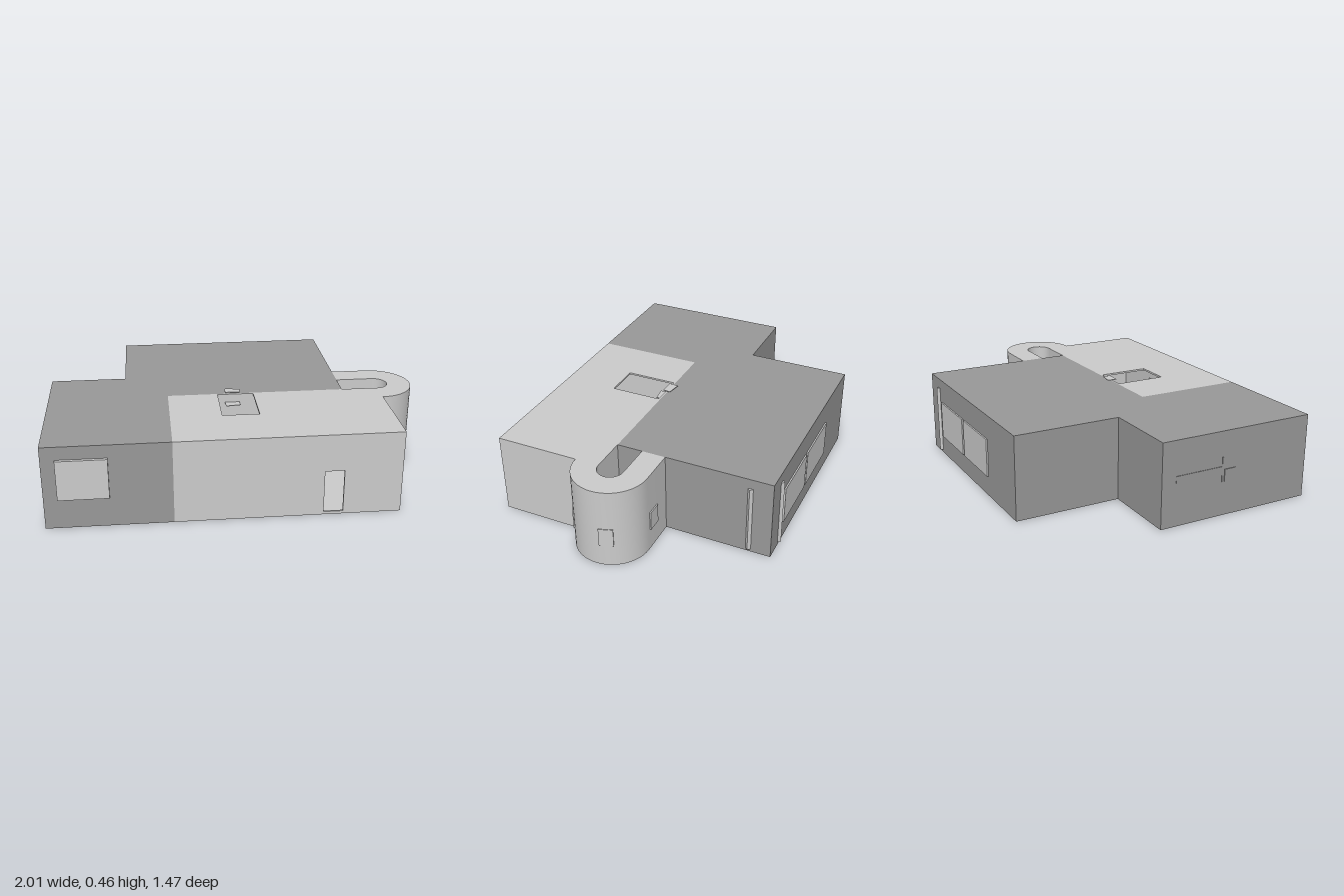
import * as THREE from 'three';
import { toCreasedNormals } from 'three/addons/utils/BufferGeometryUtils.js';

const H = 0.445;      // height of the building
const T = 0.01;       // wall thickness
const FRONT = 0.715;
const BACK = -0.725;

export function createModel() {
  const group = new THREE.Group();
  const light = new THREE.MeshStandardMaterial({ color: 0xcccccc });
  const dark = new THREE.MeshStandardMaterial({ color: 0x999999 });
  const openLight = new THREE.MeshStandardMaterial({ color: 0xcccccc, side: THREE.DoubleSide });

  function add(name, geometry, material, x = 0, y = 0, z = 0, turn = 0) {
    const mesh = new THREE.Mesh(geometry, material);
    mesh.name = name;
    mesh.position.set(x, y, z);
    mesh.rotation.y = turn;
    group.add(mesh);
    return mesh;
  }
  // Box from its limits on each axis
  function block(name, material, x0, x1, y0, y1, z0, z1) {
    return add(name, new THREE.BoxGeometry(x1 - x0, y1 - y0, z1 - z0), material,
      (x0 + x1) / 2, (y0 + y1) / 2, (z0 + z1) / 2);
  }
  // Floor-plan outline (x, z) extruded downwards from its top
  function plan(name, shape, material, top, depth, curveSegments = 12) {
    const g = new THREE.ExtrudeGeometry(shape, { depth, bevelEnabled: false, curveSegments });
    return add(name, toCreasedNormals(g.rotateX(Math.PI / 2), 0.6), material, 0, top, 0);
  }
  const outline = (pts) => pts.map(([x, y]) => new THREE.Vector2(x, y));
  const rect = (x0, x1, y0, y1) => outline([[x0, y0], [x1, y0], [x1, y1], [x0, y1]]);

  // Main wing
  plan('mainWing', new THREE.Shape(outline([
    [-1, FRONT], [-1, -0.15], [-0.59, -0.15], [-0.59, BACK + 0.005],
    [0.6, BACK + 0.005], [0.6, 0.13], [-0.36, 0.13], [-0.36, FRONT],
  ])), dark, H, H);

  // Hollow front wing: roof with stair opening, front wall with doorway
  const roof = new THREE.Shape(rect(-0.36, 0.8, 0.13, FRONT));
  roof.holes.push(new THREE.Path(rect(-0.09, 0.105, 0.14, 0.42)));
  plan('frontWingRoof', roof, light, H, T);
  block('frontWingFloor', light, -0.36, 0.8, 0, T, 0.13, FRONT);
  block('frontWingRightWall', light, -0.36, -0.36 + T, T, H - T, 0.13, FRONT - T);
  block('frontWingLeftWall', light, 0.8 - T, 0.8, T, H - T, 0.13, FRONT - T);
  block('frontWingBackWall', light, -0.36 + T, 0.8 - T, T, H - T, 0.13, 0.13 + T);
  const wall = new THREE.Shape(rect(-0.36, 0.8, T, H - T));
  wall.holes.push(new THREE.Path(rect(0.4, 0.5, 0.015, 0.245)));
  add('frontWingFrontWall', new THREE.ExtrudeGeometry(wall, { depth: T, bevelEnabled: false }),
    light, 0, 0, FRONT - T);

  // Rounded bay wrapped around an open slot
  const bay = new THREE.Shape();
  bay.moveTo(0.6, -0.14);
  bay.lineTo(0.8, -0.14);
  bay.absarc(0.8, 0.06, 0.2, -Math.PI / 2, Math.PI / 2, false);
  bay.lineTo(0.8, 0.13);
  bay.absarc(0.8, 0.06, 0.07, Math.PI / 2, -Math.PI / 2, true);
  bay.lineTo(0.6, -0.01);
  plan('roundedBay', bay, light, H, H);

  // Bay windows, set by angle around the bay
  for (const a of [-0.32, 1.05]) {
    add('bayWindow', new THREE.BoxGeometry(0.016, 0.105, 0.075), light,
      0.8 + 0.194 * Math.cos(a), 0.172, 0.06 + 0.194 * Math.sin(a), -a);
  }
  block('bayBackWindow', light, 0.705, 0.785, 0.12, 0.225, -0.147, -0.138);

  // Front and back windows
  block('frontWindow', light, -0.93, -0.675, 0.162, 0.375, FRONT - 0.005, 0.732);
  for (const [x0, x1] of [[-0.245, 0.085], [0.105, 0.435]]) {
    block('backWindow', light, x0, x1, 0.11, 0.315, BACK - 0.003, BACK + 0.01);
  }

  // Tall narrow corner windows, turned on edge
  for (const [x, z] of [[0.48, -0.72], [0.6, -0.6]]) {
    add('cornerWindow', new THREE.BoxGeometry(0.02, 0.375, 0.02), light, x, 0.203, z, Math.PI / 4);
  }

  // Small fittings on the right-hand wall
  block('wallSlot', dark, -1.003, -0.99, 0.225, 0.262, -0.07, 0.2);
  block('wallPost', dark, -1.003, -0.99, 0.18, 0.31, 0.195, 0.205);
  block('wallBox', dark, -1.004, -0.99, 0.18, 0.245, 0.21, 0.275);

  // Curved flight of floating treads
  const step = 0.142;
  for (let i = 0; i < 8; i++) {
    const a = Math.PI + 0.15 - i * step;
    const tread = new THREE.Shape();
    tread.absarc(0.33, 0.15, 0.38, a - step, a, false);
    tread.absarc(0.33, 0.15, 0.3, a, a - step, true);
    plan('stairTread', tread, openLight, 0.46 - i * 0.058, 0.003, 2);
  }

  // Round bowl below the opening
  add('bowl', new THREE.SphereGeometry(0.06, 20, 8, 0, Math.PI * 2, Math.PI / 2, Math.PI / 2),
    openLight, -0.02, 0.07, 0.425);

  return group;
}
